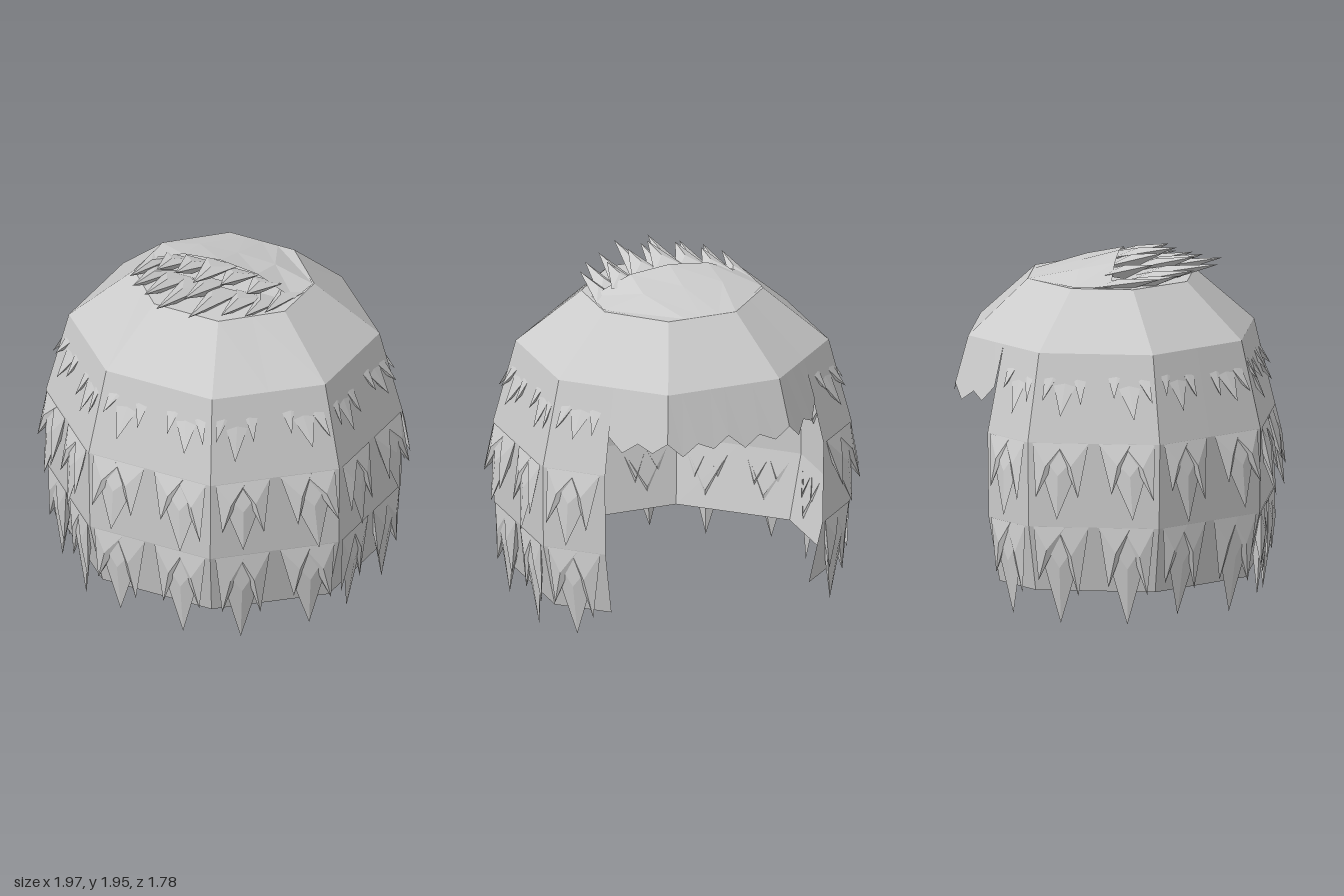
import * as THREE from 'three';

const V = (x, y, z) => new THREE.Vector3(x, y, z);
const material = new THREE.MeshStandardMaterial({ color: 0xcccccc, flatShading: true, side: THREE.DoubleSide });

// Octagonal rings: y, half width x, corner x, half depth z, corner z
const RINGS = [
  [1.82, 0.47, 0.2, 0.44, 0.17],
  [1.52, 0.8, 0.33, 0.755, 0.315],
  [1.04, 0.915, 0.38, 0.865, 0.365],
  [0.57, 0.91, 0.375, 0.86, 0.36],
  [0.2, 0.83, 0.34, 0.78, 0.33],
];
const Z0 = -0.045;
const OPEN = [5, 6, 7, 8]; // half facets left open for the face

let seed = 7;
const rand = () => (seed = (seed * 16807) % 2147483647) / 2147483647;
const vary = (a) => (rand() * 2 - 1) * a;

// Point on the shell: u runs 0..16 around (two steps per facet), out pushes it outward
function at(y, u, out = 0) {
  let i = 0;
  while (i < RINGS.length - 2 && y < RINGS[i + 1][0]) i++;
  const a = RINGS[i], b = RINGS[i + 1], t = (y - a[0]) / (b[0] - a[0]);
  const [, hx, cx, hz, cz] = a.map((v, k) => v + (b[k] - v) * t);
  const corners = [[cx, hz], [hx, cz], [hx, -cz], [cx, -hz], [-cx, -hz], [-hx, -cz], [-hx, cz], [-cx, hz]];
  const f = (((u % 16) + 16) % 16) / 2, k = Math.floor(f), s = f - k;
  const p = corners[k], q = corners[(k + 1) % 8];
  const x = p[0] + (q[0] - p[0]) * s, z = p[1] + (q[1] - p[1]) * s, r = Math.hypot(x, z);
  return V(x * (1 + out / r), y, z * (1 + out / r) + Z0);
}

// Collects flat triangles into one mesh
class Facets {
  constructor() { this.points = []; }
  tri(a, b, c) { this.points.push(a, b, c); }
  quad(a, b, c, d) { this.tri(a, b, c); this.tri(a, c, d); }
  // Pointed lock: root corners a and b, raised ridge, hidden back point and tip
  spike(a, b, ridge, back, tip) {
    this.tri(a, ridge, b);
    this.tri(a, tip, ridge);
    this.tri(ridge, tip, b);
    this.tri(a, back, tip);
    this.tri(b, tip, back);
  }
  mesh(name) {
    const g = new THREE.BufferGeometry().setFromPoints(this.points);
    g.computeVertexNormals();
    const m = new THREE.Mesh(g, material);
    m.name = name;
    return m;
  }
}

// Faceted shell with a flat top and an opening for the face
function shell() {
  const f = new Facets();
  for (let i = 0; i < RINGS.length - 1; i++) {
    const y0 = RINGS[i][0], y1 = RINGS[i + 1][0];
    for (let c = 0; c < 16; c++) {
      if (i > 0 && OPEN.includes(c)) continue;
      f.quad(at(y0, c), at(y1, c), at(y1, c + 1), at(y0, c + 1));
    }
  }
  for (let c = 0; c < 16; c++) f.tri(V(0, 1.82, Z0), at(1.82, c), at(1.82, c + 1));
  return f.mesh('hairShell');
}

// Jagged fringe above the opening
function fringe() {
  const f = new Facets();
  const ends = [1.26, 1.18, 1.24, 1.2, 1.29];
  for (let k = 0; k < 16; k++) {
    const u = 5 + k / 4, v = u + 0.25;
    f.quad(at(1.52, u), at(ends[k % 4], u, 0.01), at(ends[(k + 1) % 4 || (k === 15 ? 4 : 0)], v, 0.01), at(1.52, v));
  }
  return f.mesh('fringe');
}

// One ring of locks, three per half facet: two short outer ones over a long middle one
function lockRing(name, y, long, short, lift, sink) {
  const f = new Facets();
  for (let c = 0; c < 16; c++) {
    if (OPEN.includes(c)) continue;
    const lean = (c % 2 ? 0.06 : -0.06) + vary(0.06);
    const lock = (u0, u1, uTip, drop, out) => f.spike(
      at(y, u0, 0.005 - sink), at(y, u1, 0.005 - sink),
      at(y - drop * 0.42, (u0 + u1) / 2 + lean * 0.5, out * 0.75 - sink),
      at(y - drop * 0.5, (u0 + u1) / 2, -0.01 - sink * 1.5),
      at(y - drop, uTip, out - sink * 0.4));
    lock(c + 0.08, c + 0.92, c + 0.5 + lean, long + vary(0.03), lift);
    lock(c + 0.08, c + 0.56, c + 0.2 + lean, short + vary(0.03), lift * 0.95);
    lock(c + 0.44, c + 0.92, c + 0.8 + lean, short * 1.1 + vary(0.03), lift * 0.95);
  }
  return f.mesh(name);
}

// Swept crown: a wedge rising from the open side, ending in locks that point to +z
function crown() {
  const f = new Facets();
  const xs = [-1, -0.5, 0, 0.5, 1];
  const rows = [
    [-0.48, 0.2, [1.82, 1.82, 1.82]],
    [-0.2, 0.47, [1.825, 1.885, 1.895]],
    [0, 0.46, [1.83, 1.925, 1.95]],
  ].map(([z, w, ys]) => xs.map((s, i) => V(s * w, ys[2 - Math.abs(i - 2)], z)));
  for (let r = 0; r < 2; r++) {
    for (let i = 0; i < 4; i++) f.quad(rows[r][i], rows[r + 1][i], rows[r + 1][i + 1], rows[r][i + 1]);
  }
  // Locks: root x, root y, root z, tip x, tip y, tip z, half width
  const locks = [
    [0, 1.94, -0.03, 0, 1.97, 0.32, 0.1],
    [0.13, 1.92, -0.03, 0.14, 1.965, 0.26, 0.1],
    [0.27, 1.89, -0.05, 0.28, 1.925, 0.22, 0.09],
    [0.4, 1.84, -0.1, 0.42, 1.87, 0.27, 0.07],
    [0, 1.87, 0.05, 0, 1.92, 0.42, 0.08],
    [0.09, 1.85, 0.08, 0.1, 1.9, 0.56, 0.09],
    [0.22, 1.84, 0.05, 0.24, 1.89, 0.44, 0.09],
    [0.33, 1.83, 0, 0.35, 1.88, 0.37, 0.08],
  ];
  for (const [x, y, z, tx, ty, tz, w] of locks) {
    for (const s of x ? [1, -1] : [1]) {
      const mz = z + (tz - z) * 0.4;
      f.spike(V(s * x - w, y - 0.015, z), V(s * x + w, y - 0.015, z),
        V(s * x, (y + ty) / 2 + 0.01, mz), V(s * x, y - 0.05, mz), V(s * tx, ty, tz));
    }
  }
  return f.mesh('sweptCrown');
}

export function createModel() {
  const hair = new THREE.Group();
  hair.name = 'hair';
  hair.add(
    shell(), fringe(), crown(),
    lockRing('upperLocks', 1.52, 0.32, 0.24, 0.06, 0.05),
    lockRing('middleLocks', 1.04, 0.42, 0.28, 0.075, 0),
    lockRing('lowerLocks', 0.57, 0.52, 0.33, 0.075, 0),
  );
  return hair;
}
